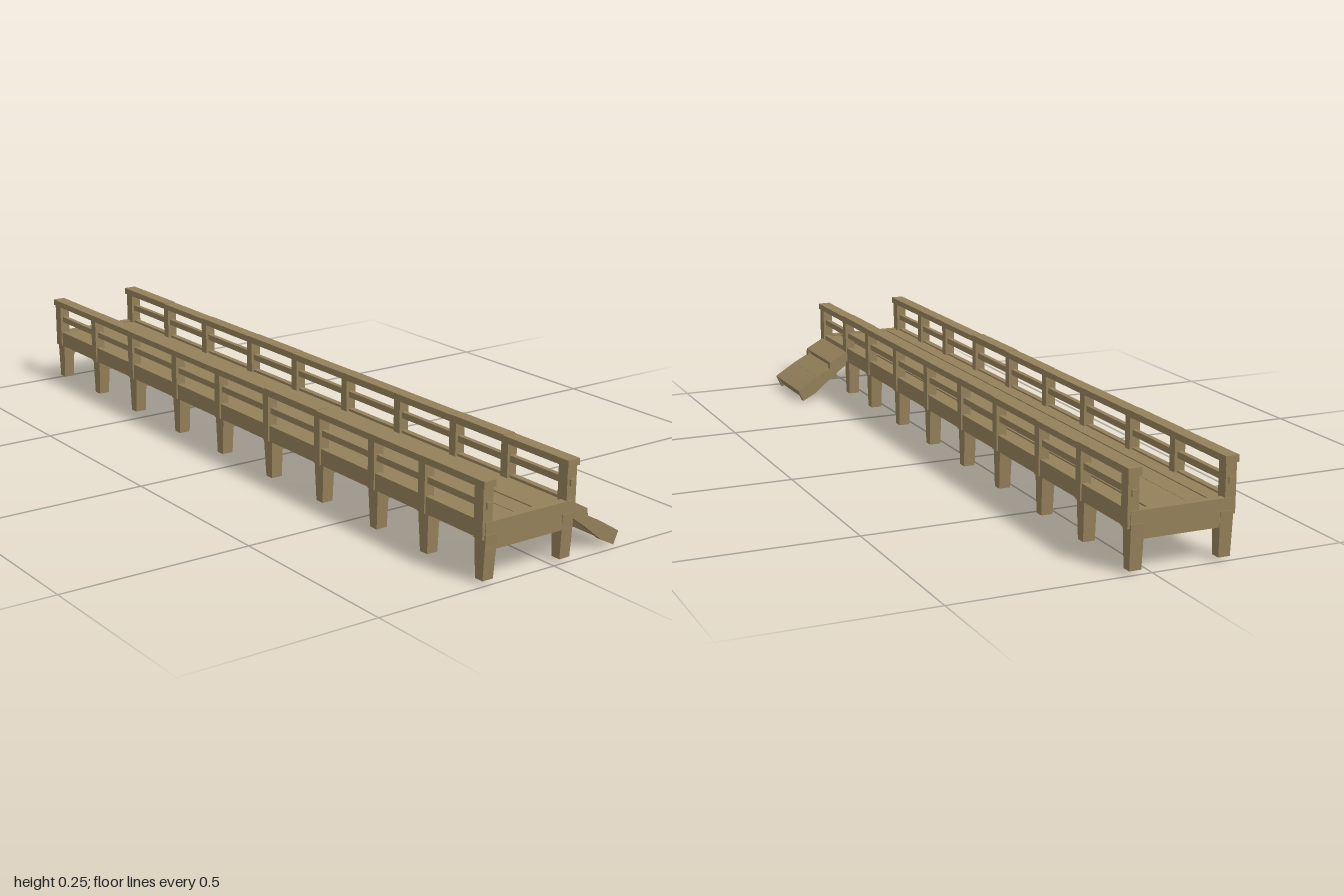
import * as THREE from 'three';

export function createModel() {
  const model = new THREE.Group();
  model.name = 'boardwalk';
  const wood = new THREE.MeshStandardMaterial({ color: 0x94805a, flatShading: true });
  wood.name = 'weathered wood';

  // small repeatable wobble for a hand-hewn look
  let seed = 7;
  const wobble = (a) => {
    seed = (seed * 16807) % 2147483647;
    return (seed / 2147483647 - 0.5) * 2 * a;
  };

  const add = (name, geometry, parent = model) => {
    const mesh = new THREE.Mesh(geometry, wood);
    mesh.name = name;
    parent.add(mesh);
    return mesh;
  };
  // box given by its lower and upper limits
  const block = (name, x0, x1, y0, y1, z0, z1, parent) => {
    const g = new THREE.BoxGeometry(x1 - x0, y1 - y0, z1 - z0);
    g.translate((x0 + x1) / 2, (y0 + y1) / 2, (z0 + z1) / 2);
    return add(name, g, parent);
  };

  const centreZ = 0.075;
  const supportX = [-0.98, -0.76, -0.545, -0.305, -0.085, 0.145, 0.37, 0.59, 0.78, 0.98];

  // deck planks, running lengthwise
  const planks = 5, deckZ0 = -0.055, deckW = 0.26 / planks;
  for (let i = 0; i < planks; i++) {
    const z = deckZ0 + i * deckW;
    block('deckPlank', -0.995, 0.995, 0.128, 0.147 + wobble(0.0015), z + 0.0008, z + deckW - 0.0008);
  }
  // stringers beneath the deck
  for (const z of [0.01, 0.075, 0.14]) {
    block('stringer', -0.985, 0.985, 0.108, 0.13, z - 0.008, z + 0.008);
  }
  // end boards
  for (const s of [-1, 1]) {
    const x = s * 0.987;
    block('endBoard', x - 0.01, x + 0.01, 0.083, 0.15, -0.055, 0.205);
  }

  // cross beams under the deck
  for (const x of supportX) {
    block('crossBeam', x - 0.014, x + 0.014, 0.082, 0.112, -0.04, 0.19);
  }

  // both long sides: fascia, rails, posts and tapered legs
  for (const s of [-1, 1]) {
    const side = new THREE.Group();
    side.name = s > 0 ? 'frontSide' : 'backSide';
    model.add(side);
    const z = (d) => centreZ + s * d;
    const span = (name, x0, x1, y0, y1, d0, d1) =>
      block(name, x0, x1, y0, y1, Math.min(z(d0), z(d1)), Math.max(z(d0), z(d1)), side);

    span('fascia', -0.995, 0.995, 0.11, 0.152, 0.118, 0.134);

    supportX.forEach((x, i) => {
      const last = i === 0 || i === supportX.length - 1;
      const w = last ? 0.015 : 0.012;
      // rail post, standing just outside the fascia
      span('railPost', x - w, x + w, 0.11, 0.24, 0.11, 0.138);
      // leg, narrowing downward
      const g = new THREE.BoxGeometry(0.038, 0.11, 0.034);
      const p = g.attributes.position;
      const lean = wobble(0.003);
      for (let k = 0; k < p.count; k++) {
        if (p.getY(k) < 0) {
          p.setX(k, p.getX(k) * 0.68 + lean);
          p.setZ(k, p.getZ(k) * 0.9);
        }
      }
      g.translate(x, 0.065, z(0.114));
      add('leg', g, side);
    });

    // rails laid bay by bay with slightly uneven heights
    const joints = [-1, ...supportX.slice(1, -1), 1];
    for (let i = 0; i < joints.length - 1; i++) {
      const a = joints[i], b = joints[i + 1];
      const t = 0.249 + wobble(0.0015), m = 0.191 + wobble(0.003);
      span('topRail', a, b, 0.232, t, 0.106, 0.141);
      span('middleRail', a, b, m - 0.008, m + 0.008, 0.117, 0.13);
    }
  }

  // stairs at the back: two solid side boards and sloping treads
  const stairs = new THREE.Group();
  stairs.name = 'stairs';
  model.add(stairs);
  // profile as [distance behind centre line, height]
  const profile = [
    [0.062, 0.141], [0.115, 0.112], [0.117, 0.093], [0.155, 0.073], [0.218, 0.034],
    [0.204, 0.002], [0.165, 0.022], [0.1, 0.075], [0.065, 0.1],
  ];
  const shape = new THREE.Shape(profile.map(([d, y]) => new THREE.Vector2(d, y)));
  for (const x of [0.766, 0.966]) {
    const g = new THREE.ExtrudeGeometry(shape, { depth: 0.016, bevelEnabled: false });
    g.rotateY(Math.PI / 2); // profile runs toward the back, thickness along x
    g.translate(x, 0, 0);
    add('stairSide', g, stairs);
  }
  const treads = [
    [0.062, 0.141, 0.115, 0.112],
    [0.108, 0.098, 0.157, 0.072],
    [0.15, 0.0755, 0.19, 0.0515],
    [0.186, 0.054, 0.218, 0.034],
  ];
  for (const [d0, y0, d1, y1] of treads) {
    const length = Math.hypot(d1 - d0, y1 - y0);
    const g = new THREE.BoxGeometry(0.21, 0.02, length);
    g.translate(0, -0.01, 0);
    g.rotateX(-Math.atan2(y0 - y1, d1 - d0) * -1 * -1);
    g.translate(0.874, (y0 + y1) / 2, -(d0 + d1) / 2);
    add('stairTread', g, stairs);
  }
  // foot board closing the lower end
  block('stairFoot', 0.78, 0.968, 0.012, 0.036, -0.206, -0.188, stairs);

  return model;
}
